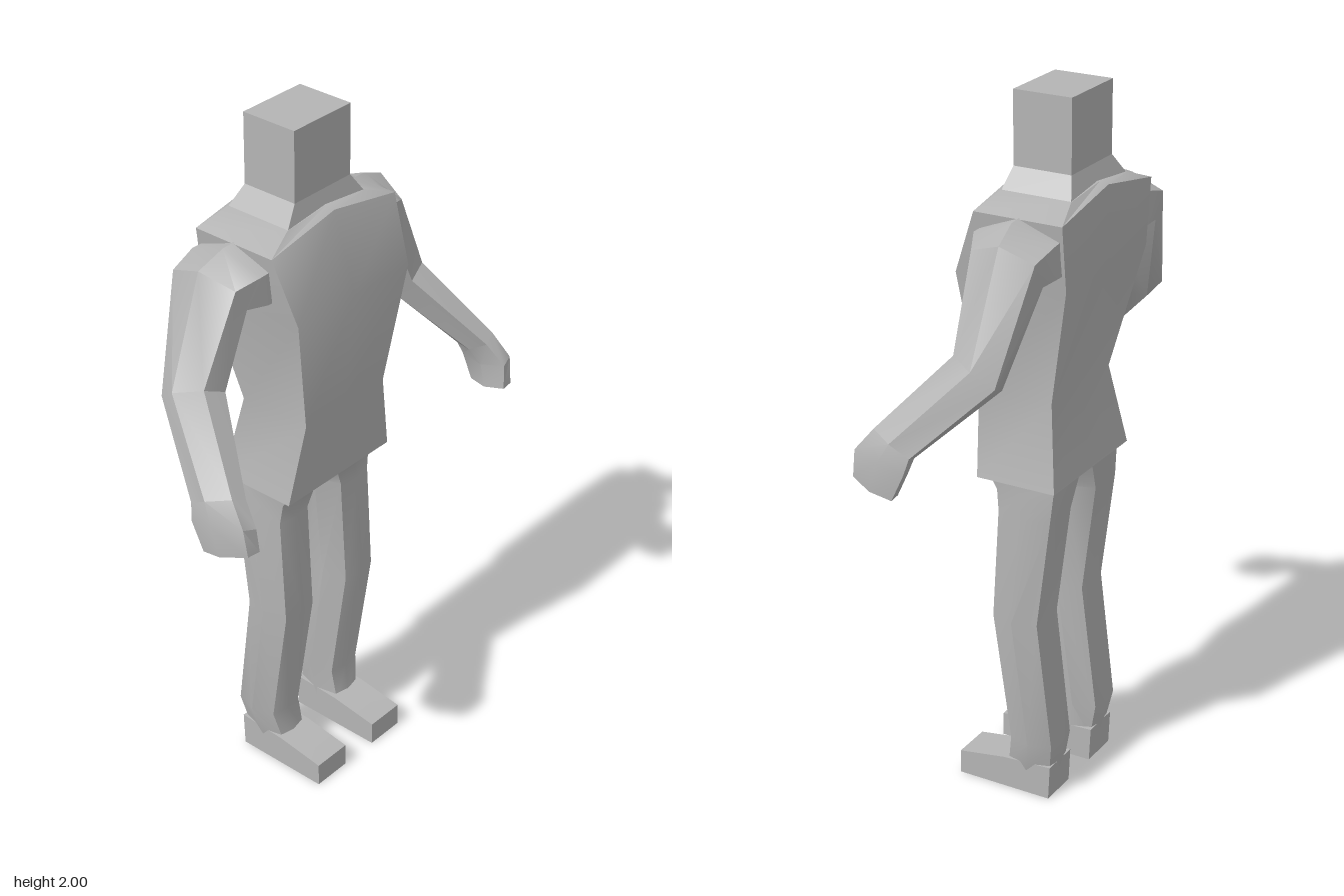
import * as THREE from 'three';
import { toCreasedNormals } from 'three/addons/utils/BufferGeometryUtils.js';

const grey = new THREE.MeshStandardMaterial({ color: 0xb4b4b4 });
grey.name = 'plain grey';

// Skin a list of rings (each a list of [x, y, z]) and cap both ends.
// Rings run counter-clockwise about the loft direction; side -1 mirrors x.
function loft(name, rings, side = 1, crease = 0.6) {
  const n = rings[0].length;
  const pos = [], index = [];
  const add = (p) => pos.push(p[0] * side, p[1], p[2]) / 3 - 1;
  const tri = (a, b, c) => (side > 0 ? index.push(a, b, c) : index.push(a, c, b));
  rings.forEach((ring) => ring.forEach(add));
  for (let i = 0; i < rings.length - 1; i++) {
    for (let j = 0; j < n; j++) {
      const a = i * n + j, b = i * n + ((j + 1) % n);
      tri(a, b, b + n);
      tri(a, b + n, a + n);
    }
  }
  const mean = (ring) => [0, 1, 2].map((k) => ring.reduce((s, p) => s + p[k], 0) / n);
  const first = add(mean(rings[0]));
  const last = add(mean(rings[rings.length - 1]));
  const end = (rings.length - 1) * n;
  for (let j = 0; j < n; j++) {
    const k = (j + 1) % n;
    tri(first, k, j);
    tri(last, end + j, end + k);
  }
  const geo = new THREE.BufferGeometry();
  geo.setAttribute('position', new THREE.Float32BufferAttribute(pos, 3));
  geo.setIndex(index);
  const mesh = new THREE.Mesh(toCreasedNormals(geo, crease), grey);
  mesh.name = name;
  return mesh;
}

// Boxy ring with a raised middle: height, half width, back z, front z, lift
function boxRing([y, w, back, front, lift = 0]) {
  return [
    [-w, y, front], [0, y + lift, front], [w, y, front],
    [w, y, back], [0, y + lift, back], [-w, y, back],
  ];
}

// Bevelled horizontal ring: height, inner x, outer x, back z, front z
function legRing([y, x0, x1, back, front]) {
  const cx = (x0 + x1) / 2, cz = (back + front) / 2;
  const rx = (x1 - x0) / 2, rz = (front - back) / 2;
  const corner = [0.72, 0.88];
  const unit = [
    [0, 1], corner, [1, 0], [corner[0], -corner[1]],
    [0, -1], [-corner[0], -corner[1]], [-1, 0], [-corner[0], corner[1]],
  ];
  return unit.map(([x, z]) => [cx + x * rx, y, cz + z * rz]);
}

// Six-sided ring spanned by two half axes around a centre
function armRing([c, u, v]) {
  return Array.from({ length: 6 }, (_, i) => {
    const a = (i * Math.PI) / 3;
    return [0, 1, 2].map((k) => c[k] + u[k] * Math.cos(a) + v[k] * Math.sin(a) * 1.15);
  });
}

export function createModel() {
  const model = new THREE.Group();
  model.name = 'figure';

  // Torso from hem to shoulder line, closing in to the neck base
  model.add(loft('torso', [
    [0.955, 0.205, -0.185, 0.05],
    [1.19, 0.157, -0.15, 0.07],
    [1.53, 0.218, -0.225, 0.1],
    [1.71, 0.24, -0.225, 0.032, 0.045],
    [1.745, 0.15, -0.2, 0.005, 0.015],
  ].map(boxRing)));

  // Flared neck and block head
  model.add(loft('neck', [
    [1.74, 0.15, -0.2, 0.005],
    [1.8, 0.107, -0.177, -0.008],
  ].map(boxRing)));
  const head = new THREE.Mesh(new THREE.BoxGeometry(0.214, 0.2, 0.169), grey);
  head.name = 'head';
  head.position.set(0, 1.9, -0.0925);
  model.add(head);

  // Foot side profile as [z, y]
  const sole = [[-0.155, 0], [0.13, 0], [0.13, 0.07], [-0.012, 0.092], [-0.16, 0.1]];

  for (const side of [1, -1]) {
    const label = side > 0 ? 'left' : 'right';

    // Shoulder, upper arm, elbow and forearm
    model.add(loft(label + 'Arm', [
      [[0.19, 1.62, -0.097], [0, 0.095, 0], [0, 0, 0.115]],
      [[0.25, 1.62, -0.1], [0.025, 0.09, 0], [0, 0, 0.118]],
      [[0.315, 1.605, -0.11], [0.04, 0.07, 0], [-0.01, 0, 0.098]],
      [[0.415, 1.355, -0.083], [0.062, 0.026, -0.015], [-0.01, 0.03, 0.066]],
      [[0.525, 1.165, 0.1], [0.04, 0.015, -0.01], [-0.012, 0.025, 0.06]],
    ].map(armRing), side));

    // Hand bent downwards from the wrist
    model.add(loft(label + 'Hand', [
      [[0.525, 1.165, 0.1], [0.04, 0.015, -0.01], [-0.012, 0.025, 0.06]],
      [[0.54, 1.115, 0.13], [0.038, 0.01, -0.01], [-0.01, 0.015, 0.08]],
      [[0.537, 1.04, 0.152], [0.038, 0, -0.005], [-0.012, 0.015, 0.066]],
    ].map(armRing), side));

    // Leg from ankle through knee up to the hip
    model.add(loft(label + 'Leg', [
      [0.07, 0.06, 0.178, -0.158, -0.01],
      [0.17, 0.054, 0.203, -0.175, -0.03],
      [0.54, 0.05, 0.205, -0.13, 0.025],
      [0.86, 0.048, 0.205, -0.172, 0.008],
      [0.92, 0.02, 0.204, -0.178, 0.016],
      [0.96, 0, 0.203, -0.183, 0.045],
    ].map(legRing), side));

    // Flat foot
    const ring = (x) => sole.map(([z, y]) => [x, y, z]).reverse();
    model.add(loft(label + 'Foot', [ring(0.06), ring(0.178)], side, 0.3));
  }
  return model;
}
